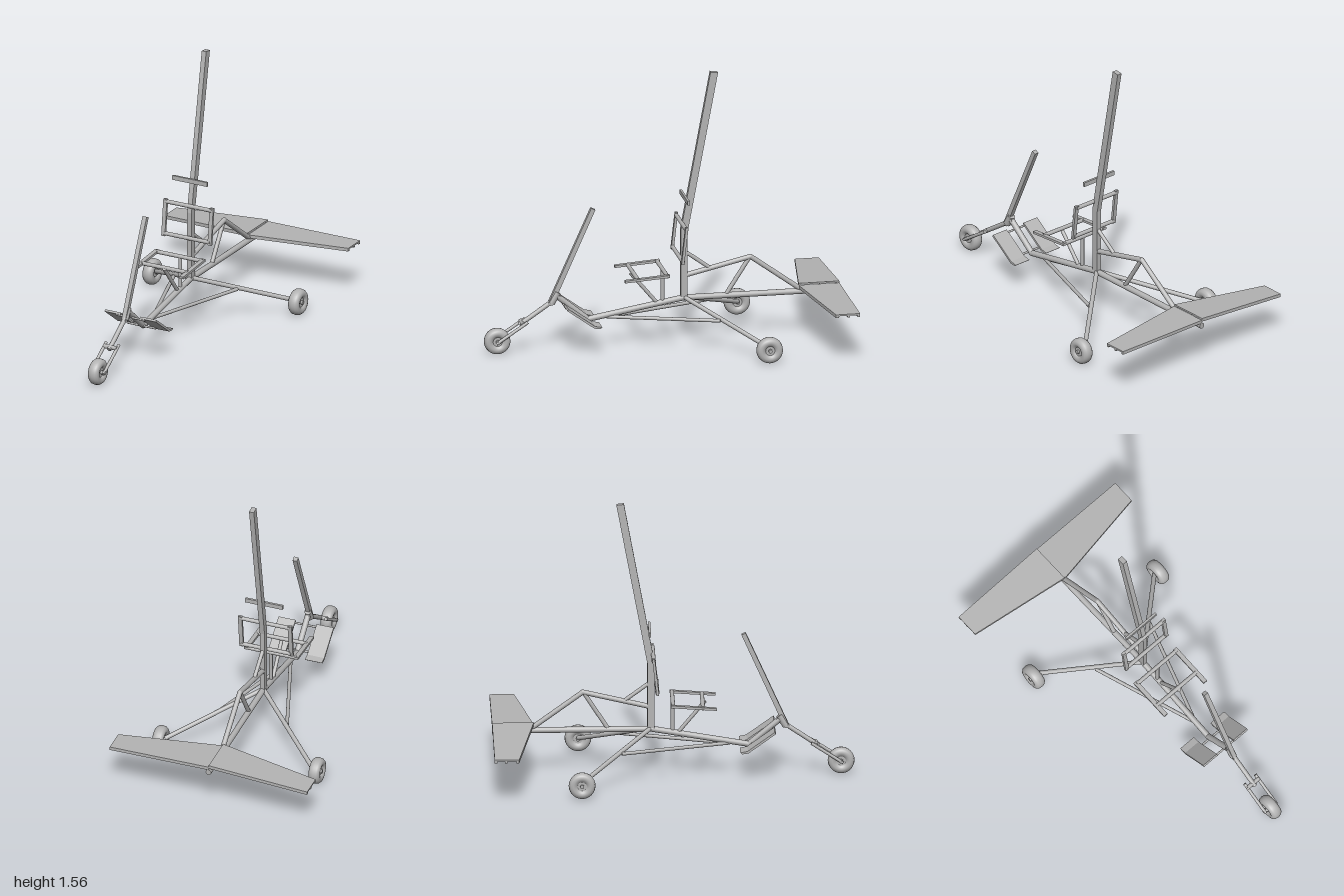
import * as THREE from 'three';

const grey = new THREE.MeshStandardMaterial({ color: 0xb4b4b4 });
grey.name = 'bare metal grey';
const V = (p) => new THREE.Vector3(...p);

export function createModel() {
  const model = new THREE.Group();
  model.name = 'gyroplaneFrame';

  function add(name, geometry, parent = model) {
    const mesh = new THREE.Mesh(geometry, grey);
    mesh.name = name;
    parent.add(mesh);
    return mesh;
  }

  // round tube between two points
  function tube(name, a, b, r) {
    const from = V(a), to = V(b), dir = to.clone().sub(from);
    const mesh = add(name, new THREE.CylinderGeometry(r, r, dir.length(), 16));
    mesh.position.copy(from).add(to).multiplyScalar(0.5);
    mesh.quaternion.setFromUnitVectors(new THREE.Vector3(0, 1, 0), dir.normalize());
    return mesh;
  }

  // rounded-joint tube run in the centre plane, points given as [z, y]
  function run(name, points, r) {
    for (let i = 1; i < points.length; i++) {
      const [z0, y0] = points[i - 1], [z1, y1] = points[i];
      tube(name, [0, y0, z0], [0, y1, z1], r);
      if (i < points.length - 1) add(name + 'Joint', new THREE.SphereGeometry(r, 16, 10)).position.set(0, y1, z1);
    }
  }

  // side profile [z, y] extruded across x
  function profile(name, points, width, x = 0) {
    const shape = new THREE.Shape(points.map(([z, y]) => new THREE.Vector2(z, y)));
    const g = new THREE.ExtrudeGeometry(shape, { depth: width, bevelEnabled: false });
    g.translate(0, 0, -width / 2).rotateY(-Math.PI / 2).translate(x, 0, 0);
    return add(name, g);
  }

  // flat outline [x, z] extruded upward from y = 0
  function plan(name, points, height, parent) {
    const shape = new THREE.Shape(points.map(([x, z]) => new THREE.Vector2(x, -z)));
    const g = new THREE.ExtrudeGeometry(shape, { depth: height, bevelEnabled: false });
    return add(name, g.rotateX(-Math.PI / 2), parent);
  }

  // wheel with rounded tyre and dished hub
  function wheel(name, x, z) {
    const g = new THREE.Group();
    g.name = name;
    const section = [[0.026, -0.02], [0.034, -0.029], [0.048, -0.033], [0.062, -0.029], [0.071, -0.018], [0.074, 0],
      [0.071, 0.018], [0.062, 0.029], [0.048, 0.033], [0.034, 0.029], [0.026, 0.02]];
    add('tyre', new THREE.LatheGeometry(section.map((p) => new THREE.Vector2(...p)), 40), g);
    add('hub', new THREE.CylinderGeometry(0.028, 0.028, 0.04, 28), g);
    add('axleCap', new THREE.CylinderGeometry(0.011, 0.011, 0.062, 16), g);
    g.rotation.z = Math.PI / 2;
    g.position.set(x, 0.079, z);
    model.add(g);
  }

  // keel, front boom and rear bracing
  run('keel', [[-1.0, 0.262], [-0.12, 0.266], [0.415, 0.175], [0.59, 0.32]], 0.0165);
  run('rearBrace', [[-0.12, 0.392], [-0.5, 0.48], [-0.8, 0.262]], 0.014);
  tube('rearBraceStrut', [0, 0.47, -0.49], [0, 0.275, -0.365], 0.012);
  tube('upperBrace', [0, 0.54, -0.12], [0, 0.43, -0.27], 0.011);

  // mast, kinked backwards
  profile('mast', [[-0.106, 0.27], [-0.144, 0.27], [-0.144, 0.645], [-0.315, 1.557], [-0.273, 1.562], [-0.106, 0.66]], 0.028);

  // steering column and front fork
  profile('controlColumn', [[0.645, 0.268], [0.614, 0.268], [0.375, 0.805], [0.398, 0.816]], 0.026);
  tube('forkStem', [0, 0.32, 0.57], [0, 0.165, 0.8], 0.013);
  tube('forkCrown', [-0.042, 0.175, 0.785], [0.042, 0.175, 0.785], 0.012);
  tube('steeringHead', [0, 0.34, 0.585], [0, 0.28, 0.62], 0.02);
  tube('frontAxle', [-0.048, 0.079, 0.925], [0.048, 0.079, 0.925], 0.009);
  wheel('frontWheel', 0, 0.925);

  for (const s of [-1, 1]) {
    tube('forkLeg', [s * 0.04, 0.188, 0.76], [s * 0.04, 0.074, 0.935], 0.009);
    // rear undercarriage
    tube('axleStrut', [0, 0.27, -0.125], [s * 0.435, 0.085, -0.515], 0.0125);
    tube('dragStrut', [0, 0.182, 0.31], [s * 0.2, 0.182, -0.29], 0.01);
    tube('rearAxle', [s * 0.425, 0.079, -0.515], [s * 0.46, 0.079, -0.515], 0.011);
    wheel('rearWheel', s * 0.46, -0.515);
    // sloping foot plates
    profile('footPlate', [[0.365, 0.172], [0.376, 0.163], [0.41, 0.168], [0.562, 0.278], [0.555, 0.288], [0.405, 0.18]], 0.1, s * 0.112);
    // seat frame rails
    const x = s * 0.146 - 0.006;
    profile('seatRail', [[0.235, 0.415], [0.235, 0.428], [-0.018, 0.446], [-0.018, 0.432]], 0.025, x);
    profile('seatBackPost', [[-0.082, 0.502], [-0.097, 0.502], [-0.121, 0.713], [-0.106, 0.713]], 0.023, x);
  }
  tube('footPlateBar', [-0.09, 0.27, 0.553], [0.09, 0.27, 0.553], 0.006);
  tube('footPlateBar', [-0.09, 0.18, 0.432], [0.09, 0.18, 0.432], 0.006);

  // seat cross bars, supports and headrest
  for (const [y, z] of [[0.437, -0.005], [0.426, 0.16], [0.516, -0.092], [0.698, -0.112]])
    tube('seatCrossBar', [-0.152, y, z], [0.14, y, z], 0.0115);
  tube('seatPost', [0, 0.26, -0.005], [0, 0.437, -0.005], 0.0105);
  tube('seatDiagonal', [0, 0.25, 0.03], [0, 0.425, 0.175], 0.0105);
  const rest = add('headrestBar', new THREE.BoxGeometry(0.22, 0.025, 0.013));
  rest.position.set(-0.008, 0.84, -0.132);

  // tailplane halves: thin skin with edge lips, right half drooping
  for (const s of [-1, 1]) {
    const half = new THREE.Group();
    half.name = s < 0 ? 'rightTailplane' : 'leftTailplane';
    const tip = s * 0.58;
    plan('tailSkin', [[0, -0.77], [tip, -0.865], [tip, -1], [0, -1]], 0.009, half).position.y = 0.01;
    plan('leadingLip', [[0, -0.77], [tip, -0.865], [tip, -0.88], [0, -0.785]], 0.011, half);
    plan('trailingLip', [[0, -0.985], [tip, -0.985], [tip, -1], [0, -1]], 0.011, half);
    plan('tailSpar', [[0, -0.89], [tip, -0.93], [tip, -0.942], [0, -0.902]], 0.011, half);
    half.position.y = s < 0 ? 0.288 : 0.278;
    if (s < 0) half.rotation.z = 0.072;
    model.add(half);
  }
  return model;
}
